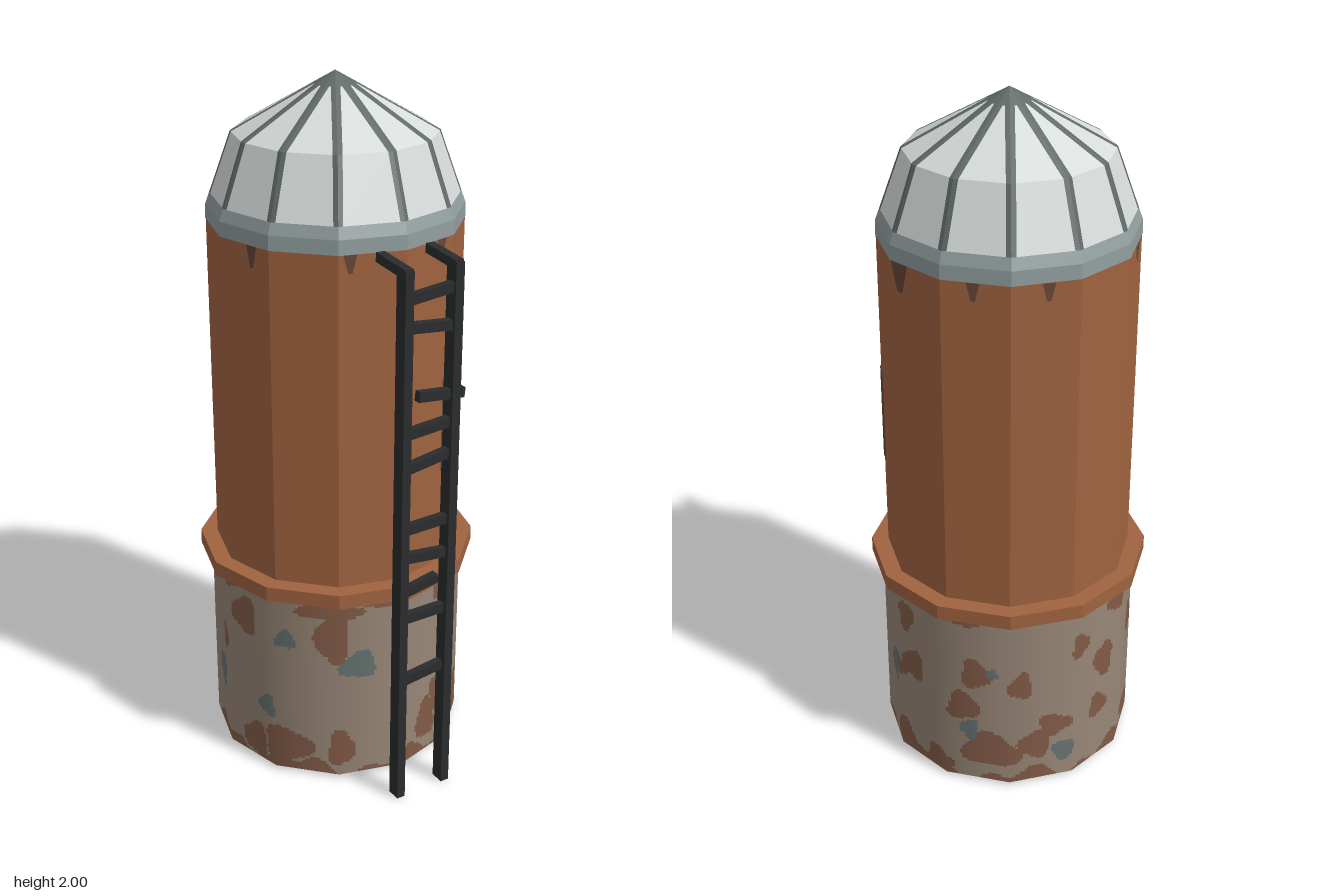
import * as THREE from 'three';

const SIDES = 12, STEP = 360 / SIDES;
const mat = (name, color, side = THREE.FrontSide) => {
  const m = new THREE.MeshStandardMaterial({ color, side });
  m.name = name;
  return m;
};

// Point on a ring: angle in degrees from the front (+z) towards +x
const P = (deg, r, y) => {
  const t = THREE.MathUtils.degToRad(deg);
  return new THREE.Vector3(r * Math.sin(t), y, r * Math.cos(t));
};
// Radius of a twelve-sided ring at any angle
const polyRadius = (deg, r) => {
  const d = ((deg % STEP) + STEP) % STEP - STEP / 2;
  return r * Math.cos(Math.PI / SIDES) / Math.cos(THREE.MathUtils.degToRad(d));
};
// Point lying on the faceted wall
const W = (deg, r, y) => P(deg, polyRadius(deg, r), y);

// Flat-shaded mesh from quads (bottom left, bottom right, top right, top left)
function quadMesh(name, quads, material) {
  const pts = quads.flatMap(([a, b, c, d]) => [a, b, c, a, c, d]);
  const g = new THREE.BufferGeometry().setFromPoints(pts);
  g.computeVertexNormals();
  const mesh = new THREE.Mesh(g, material);
  mesh.name = name;
  return mesh;
}
const wallQuad = (d0, d1, r, y0, y1) => [W(d0, r, y0), W(d1, r, y0), W(d1, r, y1), W(d0, r, y1)];

// Patches on the base: angle, height, half width, half height
const BROWN = [
  [-33, .47, .05, .08], [-35, .56, .1, .03], [-55, .09, .08, .06], [-29, .1, .04, .06],
  [16, .12, .04, .07], [26, .19, .05, .06], [54, .1, .04, .05], [33, .55, .1, .04],
  [95, .5, .03, .05], [99, .34, .045, .05], [89, .3, .04, .03], [115, .05, .05, .04],
  [134, .39, .045, .05], [128, .27, .05, .05], [141, .12, .09, .06], [155, .36, .035, .045],
  [171, .2, .05, .04], [91, .06, .05, .05], [200, .36, .04, .06], [235, .37, .035, .05],
  [212, .54, .06, .04], [184, .46, .035, .04], [197, .2, .04, .04], [232, .05, .06, .04],
  [287, .07, .05, .06], [281, .48, .05, .06], [162, .14, .05, .05], [265, .36, .03, .04],
];
const TEAL = [
  [-21, .38, .055, .045], [-65, .21, .035, .035], [37, .07, .035, .045], [80, .27, .04, .055],
  [131, .19, .03, .035], [142, .4, .02, .015], [176, .1, .035, .035], [257, .22, .04, .055],
  [305, .45, .03, .03],
];

// Base wall: fine grid whose cells take the colour of the patch covering them
function buildBase(materials) {
  const R = .372, Y0 = .01, Y1 = .6, NU = 288, NV = 72;
  const pos = [], nor = [], lists = [[], [], []];
  const inside = (set, deg, y) => set.some(([a, cy, ru, ry]) => {
    const d = ((deg - a + 540) % 360) - 180;
    const u = THREE.MathUtils.degToRad(d) * R / ru, v = (y - cy) / ry;
    const wobble = 1 + .16 * Math.sin(3 * Math.atan2(v, u) + a);
    return u * u + v * v < wobble * wobble;
  });
  const classify = (deg, y) => {
    const t = THREE.MathUtils.degToRad(deg);
    if (inside(TEAL, deg, y)) return 2;
    const top = .578 + .016 * Math.sin(5 * t) + .01 * Math.sin(13 * t);
    const bottom = .03 + .02 * Math.sin(7 * t + 1) + .015 * Math.sin(16 * t);
    return y > top || y < bottom || inside(BROWN, deg, y) ? 1 : 0;
  };
  for (let j = 0; j <= NV; j++) for (let i = 0; i <= NU; i++) {
    const deg = i * 360 / NU, y = Y0 + (Y1 - Y0) * j / NV;
    pos.push(...W(deg, R, y).toArray());
    nor.push(...P(deg, 1, 0).toArray());
    if (i === NU || j === NV) continue;
    const a = j * (NU + 1) + i, d = a + NU + 1;
    const cell = classify(deg + 180 / NU, y + (Y1 - Y0) / NV / 2);
    lists[cell].push(a, a + 1, d + 1, a, d + 1, d);
  }
  const g = new THREE.BufferGeometry();
  g.setAttribute('position', new THREE.Float32BufferAttribute(pos, 3));
  g.setAttribute('normal', new THREE.Float32BufferAttribute(nor, 3));
  g.setIndex(lists.flat());
  let start = 0;
  lists.forEach((l, k) => { g.addGroup(start, l.length, k); start += l.length; });
  const mesh = new THREE.Mesh(g, materials);
  mesh.name = 'base';
  return mesh;
}

// Straight bar between two points
function bar(name, a, b, w, d, material) {
  const m = new THREE.Mesh(new THREE.BoxGeometry(w, a.distanceTo(b), d), material);
  m.position.copy(a).lerp(b, .5);
  m.quaternion.setFromUnitVectors(new THREE.Vector3(0, 1, 0), b.clone().sub(a).normalize());
  m.name = name;
  return m;
}

export function createModel() {
  const both = THREE.DoubleSide;
  const stone = mat('stone', 0x978676, both), brown = mat('brown patch', 0x835b48, both);
  const teal = mat('teal patch', 0x667371, both), rust = mat('rust orange', 0xa06340);
  const stain = mat('soot stain', 0x66473a, both), black = mat('black iron', 0x2a2c2d);
  const panel = mat('pale dome panel', 0xd6dbd9), rib = mat('dome rib', 0x5f6967);
  const band = mat('dome band', 0x909c9d);

  const model = new THREE.Group();
  model.name = 'silo';
  const tower = new THREE.Group();
  tower.name = 'tower';
  tower.position.z = -.045;
  model.add(tower);
  tower.add(buildBase([stone, brown, teal]));

  // Ledge ring
  const ledge = [[.355, .635], [.355, .592], [.405, .592], [.405, .635], [.355, .635]];
  const ledgeGeo = new THREE.LatheGeometry(ledge.map(p => new THREE.Vector2(...p)), SIDES).toNonIndexed();
  ledgeGeo.computeVertexNormals();
  const ring = new THREE.Mesh(ledgeGeo, rust);
  ring.name = 'ledge';
  tower.add(ring);

  // Body wall, with the opening in the facet between 30 and 60 degrees
  const R = .356, WY0 = .95, WY1 = 1.17, wall = [];
  for (let d = 0; d < 360; d += STEP) {
    if (d === 30) wall.push(wallQuad(d, d + STEP, R, .6, WY0), wallQuad(d, d + STEP, R, WY1, 1.6));
    else wall.push(wallQuad(d, d + STEP, R, .6, 1.6));
  }
  tower.add(quadMesh('body', wall, rust));

  // Window recess
  const inward = P(45, -.09, 0);
  const [l0, r0, r1, l1] = wallQuad(30, 60, R, WY0, WY1);
  const [L0, R0, R1, L1] = [l0, r0, r1, l1].map(p => p.clone().add(inward));
  tower.add(quadMesh('windowRecess', [
    [L0, R0, R1, L1], [l0, L0, L1, l1], [R0, r0, r1, R1], [l0, r0, R0, L0], [L1, R1, r1, l1],
  ], black));

  // Soot around the window
  const S = R + .003;
  tower.add(quadMesh('windowSoot', [
    wallQuad(30, 60, S, .92, WY0), wallQuad(30, 60, S, WY1, 1.205),
    wallQuad(25, 30, S, .92, 1.2), wallQuad(60, 65, S, .92, 1.2),
  ], stain));

  // Drips under the dome
  const drips = [[-25, 3, .05], [22, 3, .04], [96, 5, .08], [134, 3, .05], [166, 3, .05], [227, 4, .05], [290, 3, .06]];
  tower.add(quadMesh('drips', drips.map(([d, w, h]) => [
    W(d - w * .3, S, 1.6 - h), W(d + w * .3, S, 1.6 - h), W(d + w, S, 1.6), W(d - w, S, 1.6),
  ]), stain));

  // Dome: rings of radius and height; each facet splits into rib, panel, rib
  const rings = [[.358, 1.6], [.356, 1.64], [.344, 1.672], [.283, 1.84], [.06, 1.966], [0, 2]];
  const bands = [], panels = [], ribs = [];
  for (let d = 0; d < 360; d += STEP) {
    const at = ([r, y], s) => P(d, r, y).lerp(P(d + STEP, r, y), s);
    const rim = ([r]) => Math.min(.5, .013 / (2 * r * Math.sin(Math.PI / SIDES)));
    for (let k = 0; k < 5; k++) {
      const a = rings[k], b = rings[k + 1];
      const strip = (s0, s1, e0, e1) => [at(a, s0), at(a, s1), at(b, e1), at(b, e0)];
      if (k < 2) bands.push(strip(0, 1, 0, 1));
      else if (k === 4) ribs.push(strip(0, 1, 0, 1));
      else {
        const s = rim(a), e = rim(b);
        ribs.push(strip(0, s, 0, e), strip(1 - s, 1, 1 - e, 1));
        panels.push(strip(s, 1 - s, e, 1 - e));
      }
    }
  }
  tower.add(quadMesh('domeBand', bands, band), quadMesh('domePanels', panels, panel), quadMesh('domeRibs', ribs, rib));

  // Ladder: two rails with hooks to the wall
  const V = (x, y, z) => new THREE.Vector3(x, y, z);
  const ladder = new THREE.Group();
  ladder.name = 'ladder';
  for (const x of [-.08, .073]) {
    ladder.add(bar('rail', V(x - .002, 0, .428), V(x + .002, 1.59, .421), .026, .042, black));
    ladder.add(bar('hook', V(x + .002, 1.582, .436), V(x + .004, 1.592, .3), .026, .026, black));
  }
  // Crooked rungs: start x, start y, end x, end y
  const rungs = [
    [-.08, 1.51, .073, 1.525], [-.08, 1.436, .073, 1.42], [-.037, 1.24, .107, 1.225],
    [-.08, 1.138, .073, 1.15], [-.08, 1.037, .073, 1.06], [-.08, .858, .08, .862],
    [-.08, .773, .073, .757], [-.08, .664, .037, .685], [-.08, .583, .073, .583],
    [-.08, .38, .073, .398],
  ];
  for (const [x0, y0, x1, y1] of rungs)
    ladder.add(bar('rung', V(x0, y0, .424), V(x1, y1, .424), .028, .022, black));
  model.add(ladder);
  return model;
}
